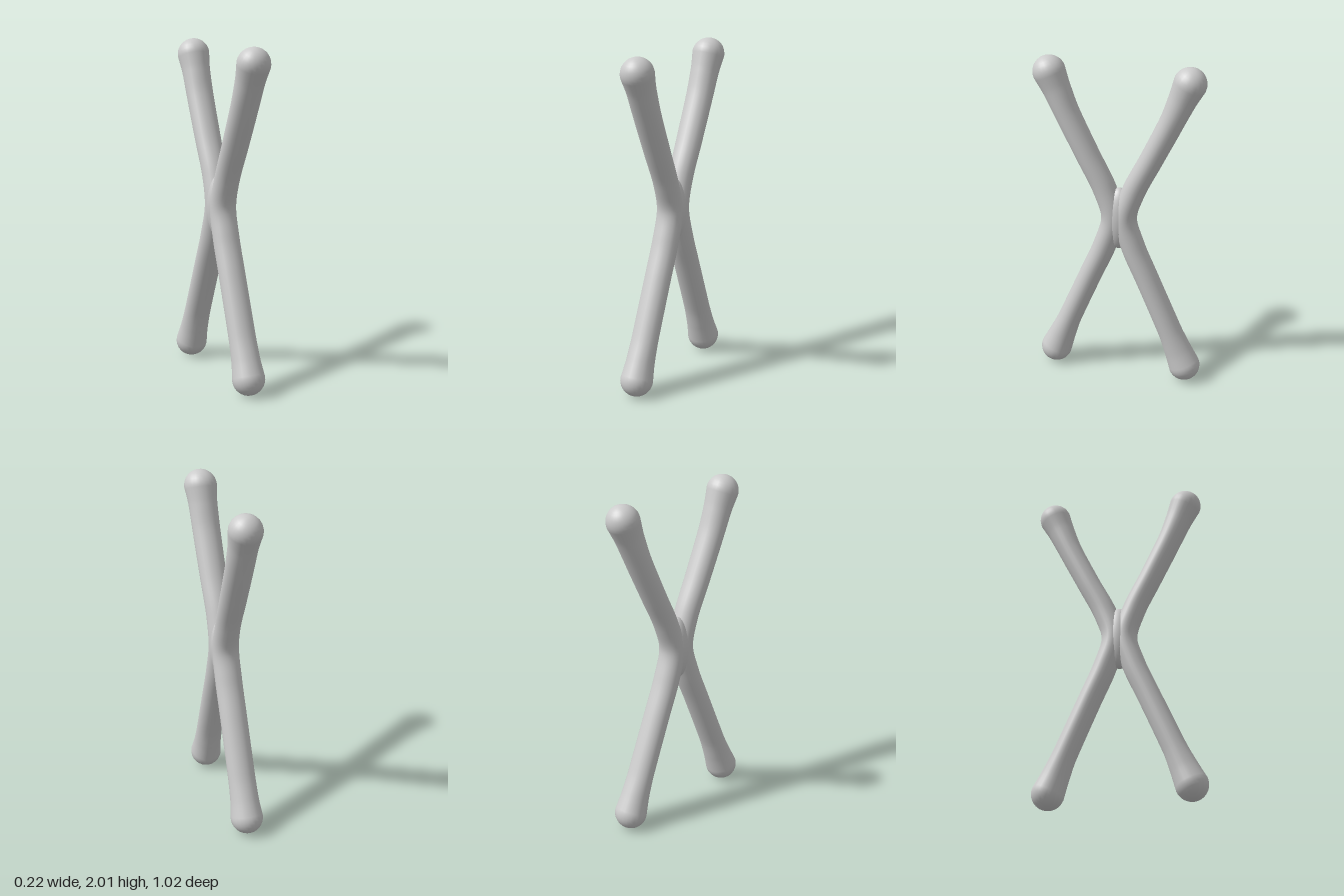
import * as THREE from 'three';
import { mergeVertices } from 'three/addons/utils/BufferGeometryUtils.js';

const material = new THREE.MeshStandardMaterial({ color: 0xcccccc });
const SIDES = 24, STEPS = 72, CAP = 8;

// Stations along one strand: y, z, radius across x, radius in the bending plane
const STATIONS = [
  [0.093, 0.414, 0.097, 0.096],
  [0.19, 0.374, 0.086, 0.083],
  [0.32, 0.32, 0.082, 0.071],
  [0.65, 0.177, 0.081, 0.069],
  [0.86, 0.086, 0.081, 0.07],
  [1.04, 0.036, 0.08, 0.071],
  [1.21, 0.086, 0.076, 0.07],
  [1.42, 0.19, 0.08, 0.069],
  [1.67, 0.312, 0.083, 0.072],
  [1.81, 0.372, 0.086, 0.082],
  [1.907, 0.414, 0.097, 0.096],
];

// One bent strand with rounded, swollen ends; side is +1 (front) or -1 (back)
function strandGeometry(side) {
  const path = new THREE.CatmullRomCurve3(
    STATIONS.map(([y, z]) => new THREE.Vector3((y - 1) * 0.012, y, z * side)));
  const radii = new THREE.CatmullRomCurve3(
    STATIONS.map(([, , a, b]) => new THREE.Vector3(a, b, 0)));
  const xAxis = new THREE.Vector3(1, 0, 0);
  const rows = [];
  const addRow = (t, angle) => {
    const tangent = path.getTangent(t), r = radii.getPoint(t);
    const center = path.getPoint(t).addScaledVector(tangent, r.y * Math.sin(angle));
    rows.push({ center, v: tangent.cross(xAxis).normalize(), a: r.x * Math.cos(angle), b: r.y * Math.cos(angle) });
  };
  for (let i = CAP; i > 0; i--) addRow(0, -i / CAP * Math.PI / 2);
  for (let i = 0; i <= STEPS; i++) addRow(i / STEPS, 0);
  for (let i = 1; i <= CAP; i++) addRow(1, i / CAP * Math.PI / 2);

  const positions = [], index = [];
  rows.forEach(({ center, v, a, b }, i) => {
    for (let j = 0; j < SIDES; j++) {
      const angle = j / SIDES * Math.PI * 2;
      const p = center.clone().addScaledVector(xAxis, a * Math.cos(angle)).addScaledVector(v, b * Math.sin(angle));
      positions.push(p.x, p.y, p.z);
      if (i === rows.length - 1) continue;
      const k = (j + 1) % SIDES, n = i * SIDES, m = n + SIDES;
      index.push(n + j, n + k, m + j, n + k, m + k, m + j);
    }
  });
  const raw = new THREE.BufferGeometry();
  raw.setAttribute('position', new THREE.Float32BufferAttribute(positions, 3));
  raw.setIndex(index);
  const geometry = mergeVertices(raw, 1e-5);
  geometry.computeVertexNormals();
  return geometry;
}

export function createModel() {
  const group = new THREE.Group();
  group.name = 'crossedRods';

  // Two mirrored strands touching at the waist
  for (const [name, side] of [['frontStrand', 1], ['backStrand', -1]]) {
    const strand = new THREE.Mesh(strandGeometry(side), material);
    strand.name = name;
    group.add(strand);
  }

  // Smooth core that fills the joint
  const core = new THREE.Mesh(new THREE.SphereGeometry(1, 32, 24), material);
  core.name = 'waistJoint';
  core.scale.set(0.081, 0.195, 0.085);
  core.position.y = 1.035;
  group.add(core);

  return group;
}
